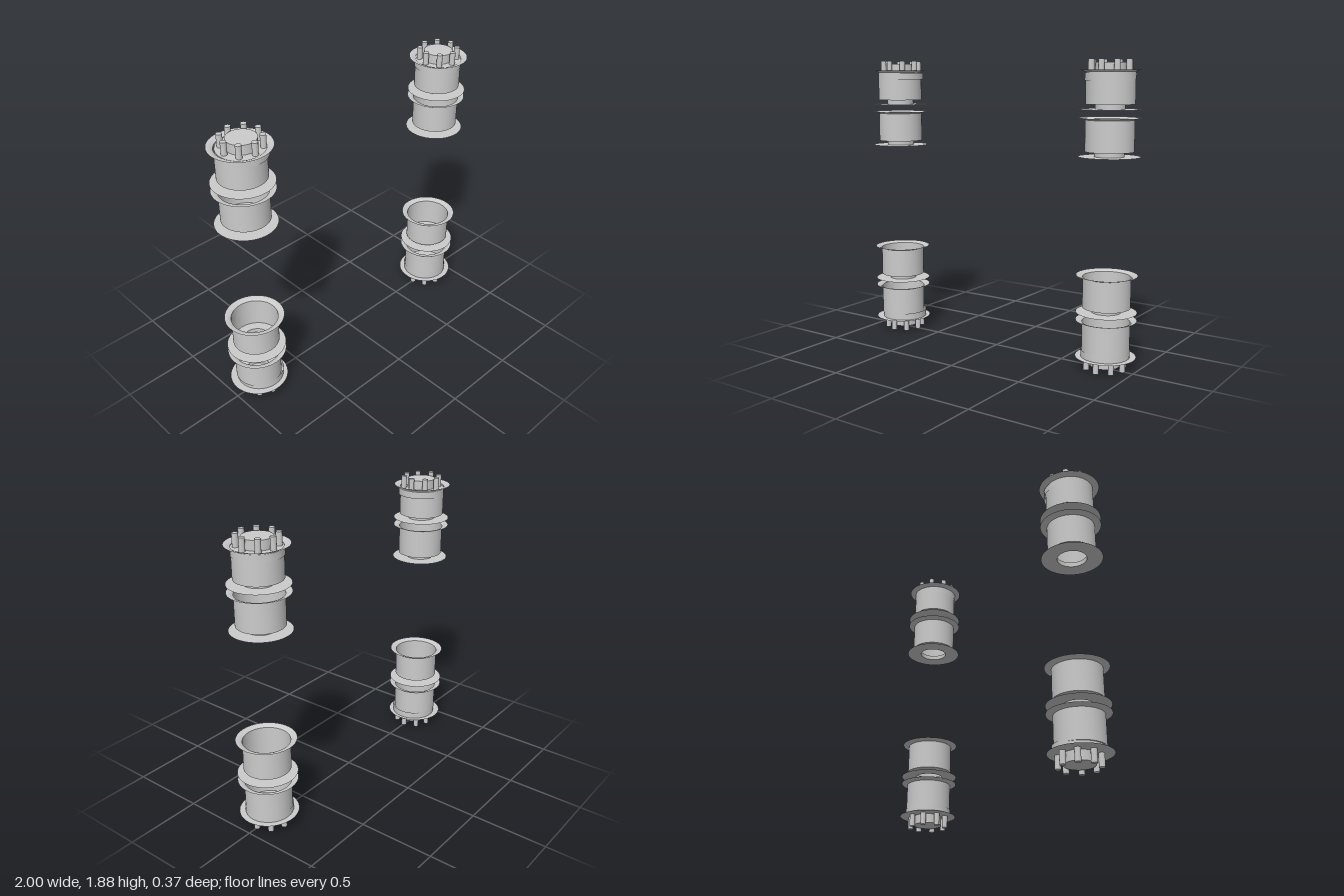
import * as THREE from 'three';
import { toCreasedNormals } from 'three/addons/utils/BufferGeometryUtils.js';

const material = new THREE.MeshStandardMaterial({ color: 0xcccccc, side: THREE.DoubleSide });

const DRUM_HEIGHT = 0.23;

// Revolve a list of [radius, height] pairs, keeping edges sharp.
function revolve(points, segments = 64) {
  const profile = points.map(([r, y]) => new THREE.Vector2(r, y));
  return toCreasedNormals(new THREE.LatheGeometry(profile, segments), 0.5);
}

// Open rim half: flat flange with a bore, short hub, barrel and flared lip.
const rimGeometry = revolve([
  [0.187, 0], [0.09, 0], [0.09, 0.03], [0.147, 0.03],
  [0.147, DRUM_HEIGHT - 0.012], [0.158, DRUM_HEIGHT - 0.006],
  [0.171, DRUM_HEIGHT - 0.001], [0.187, DRUM_HEIGHT],
]);

// Cap plate with a skirt that grips the barrel.
const capGeometry = revolve([[0.151, -0.045], [0.151, 0], [0, 0]], 32);
const bossGeometry = new THREE.CylinderGeometry(0.091, 0.091, 0.06, 32);
const boltGeometry = new THREE.CylinderGeometry(0.018, 0.018, 0.08, 16);

function add(parent, name, geometry, x, y, z) {
  const mesh = new THREE.Mesh(geometry, material);
  mesh.name = name;
  mesh.position.set(x, y, z);
  parent.add(mesh);
  return mesh;
}

// Cap with a central boss and a circle of eight bolts.
function createCap(name) {
  const cap = new THREE.Group();
  cap.name = name;
  add(cap, 'capPlate', capGeometry, 0, 0, 0);
  add(cap, 'boss', bossGeometry, 0, 0.03, 0);
  for (let i = 0; i < 8; i++) {
    const a = (i * Math.PI) / 4;
    add(cap, 'bolt', boltGeometry, 0.119 * Math.cos(a), 0.04, 0.119 * Math.sin(a));
  }
  return cap;
}

export function createModel() {
  const model = new THREE.Group();
  model.name = 'wheelRims';

  // Each side: two stacked pairs of rims, capped at the outer ends.
  const sides = [
    { name: 'left', x: 0.811, capX: 0.809 },
    { name: 'right', x: -0.813, capX: -0.801 },
  ];
  for (const { name, x, capX } of sides) {
    const stack = new THREE.Group();
    stack.name = name + 'Stack';
    for (const y of [0.08, 0.36, 1.31, 1.59]) add(stack, 'rim', rimGeometry, x, y, 0);

    const topCap = createCap('topCap');
    topCap.position.set(capX, 1.803, 0);
    const bottomCap = createCap('bottomCap');
    bottomCap.position.set(capX, 0.08, 0);
    bottomCap.rotation.x = Math.PI;
    stack.add(topCap, bottomCap);
    model.add(stack);
  }
  return model;
}
